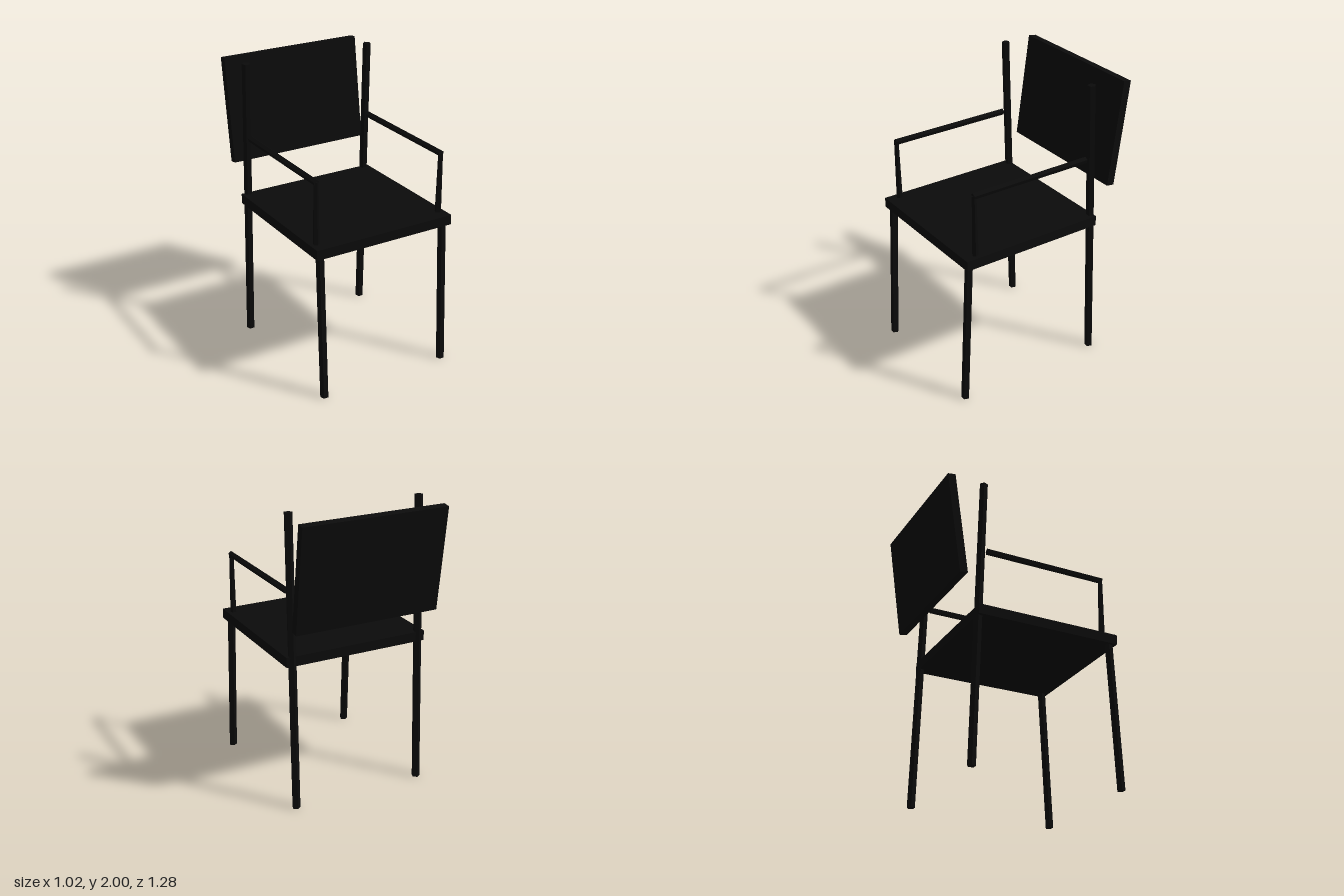
import * as THREE from 'three';

export function createModel() {
  const model = new THREE.Group();
  model.name = 'armchair';

  const black = new THREE.MeshStandardMaterial({ color: 0x0b0b0b });
  black.name = 'black';
  black.flatShading = true;

  const add = (name, geometry) => {
    const mesh = new THREE.Mesh(geometry, black);
    mesh.name = name;
    model.add(mesh);
    return mesh;
  };

  // Five-sided rod between two points; spin sets where its first edge sits
  const up = new THREE.Vector3(0, 1, 0);
  const rod = (name, from, to, rFrom, rTo, spin) => {
    const a = new THREE.Vector3(...from);
    const b = new THREE.Vector3(...to);
    const dir = b.clone().sub(a);
    const geometry = new THREE.CylinderGeometry(rTo, rFrom, dir.length(), 5, 1, false, spin);
    const mesh = add(name, geometry);
    mesh.position.copy(a).add(b).multiplyScalar(0.5);
    mesh.quaternion.setFromUnitVectors(up, dir.normalize());
  };

  // Square seat slab
  add('seat', new THREE.BoxGeometry(1.018, 0.068, 1.018)).position.set(0, 1.038, 0.105);

  // Backrest panel, leaning away behind the posts
  const back = add('backrest', new THREE.BoxGeometry(1.018, 0.719, 0.055));
  back.position.set(0, 1.626, -0.563);
  back.rotation.x = -0.138;

  // Legs, rear posts and arms, mirrored left and right
  for (const [side, s] of [['left', 1], ['right', -1]]) {
    const x = s * 0.465;
    rod(`${side}FrontLeg`, [x, 0.001, 0.618], [x, 1.03, 0.571], 0.028, 0.028, Math.PI);
    rod(`${side}RearPost`, [x, 0.001, -0.426], [x, 1.999, -0.358], 0.028, 0.028, Math.PI);
    rod(`${side}ArmPost`, [x, 1.05, 0.526], [x, 1.49, 0.53], 0.022, 0.016, 0);
    rod(`${side}Armrest`, [x, 1.488, 0.537], [x, 1.49, -0.33], 0.021, 0.022, 0);
  }

  return model;
}
